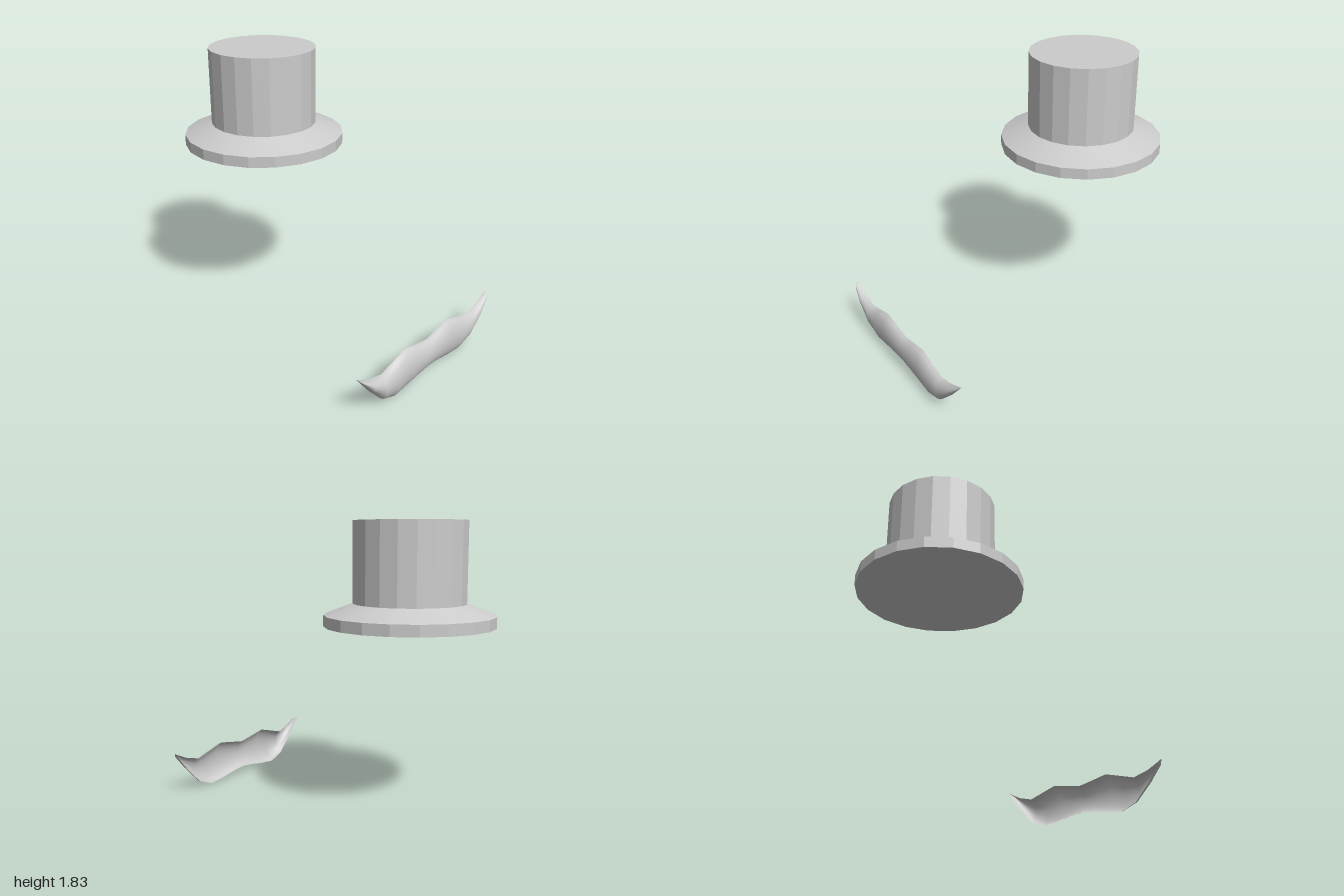
import * as THREE from 'three';
import { toCreasedNormals } from 'three/addons/utils/BufferGeometryUtils.js';

const SIDES = 20;

// Flat base, upright rim, sloping brim and a straight crown, turned as one profile
function createHat(material) {
  const profile = [
    [0, 1.19], [0.53, 1.19], [0.53, 1.26], [0.35, 1.33], [0.35, 1.83], [0, 1.83],
  ].map(([r, y]) => new THREE.Vector2(r, y));
  // The crease angle keeps crown facets crisp and the brim slope smooth
  const geometry = toCreasedNormals(new THREE.LatheGeometry(profile, SIDES), 0.3);
  const hat = new THREE.Mesh(geometry, material);
  hat.name = 'topHat';
  hat.position.z = -0.47;
  return hat;
}

// Thin shell, open at the back: each column is a half ellipse between its top and bottom edge
function createMoustache(material) {
  // x, top, bottom, depth from the middle to one tip
  const half = [
    [0, 0.235, 0.045, 0.06], [0.11, 0.255, 0.032, 0.06], [0.22, 0.276, 0.013, 0.06],
    [0.33, 0.245, 0.003, 0.06], [0.44, 0.213, 0.045, 0.059], [0.55, 0.242, 0.16, 0.053],
    [0.63, 0.281, 0.258, 0.037], [0.66, 0.297, 0.297, 0],
  ];
  const mirrored = half.slice(1).reverse().map(([x, ...rest]) => [-x, ...rest]);
  const columns = [...mirrored, ...half];
  const rows = 8;

  const geometry = new THREE.PlaneGeometry(1, 1, columns.length - 1, rows);
  const position = geometry.attributes.position;
  for (let i = 0; i < position.count; i++) {
    const [x, top, bottom, depth] = columns[i % columns.length];
    const angle = Math.PI * Math.floor(i / columns.length) / rows;
    const y = THREE.MathUtils.lerp(top, bottom, (1 - Math.cos(angle)) / 2);
    position.setXYZ(i, x, y, 0.94 + depth * Math.sin(angle));
  }
  geometry.computeVertexNormals();

  const moustache = new THREE.Mesh(geometry, material);
  moustache.name = 'moustache';
  return moustache;
}

export function createModel() {
  const group = new THREE.Group();
  group.name = 'hatAndMoustache';
  group.add(
    createHat(new THREE.MeshStandardMaterial({ color: 0xcccccc })),
    createMoustache(new THREE.MeshStandardMaterial({ color: 0xcccccc, side: THREE.DoubleSide })),
  );
  return group;
}
